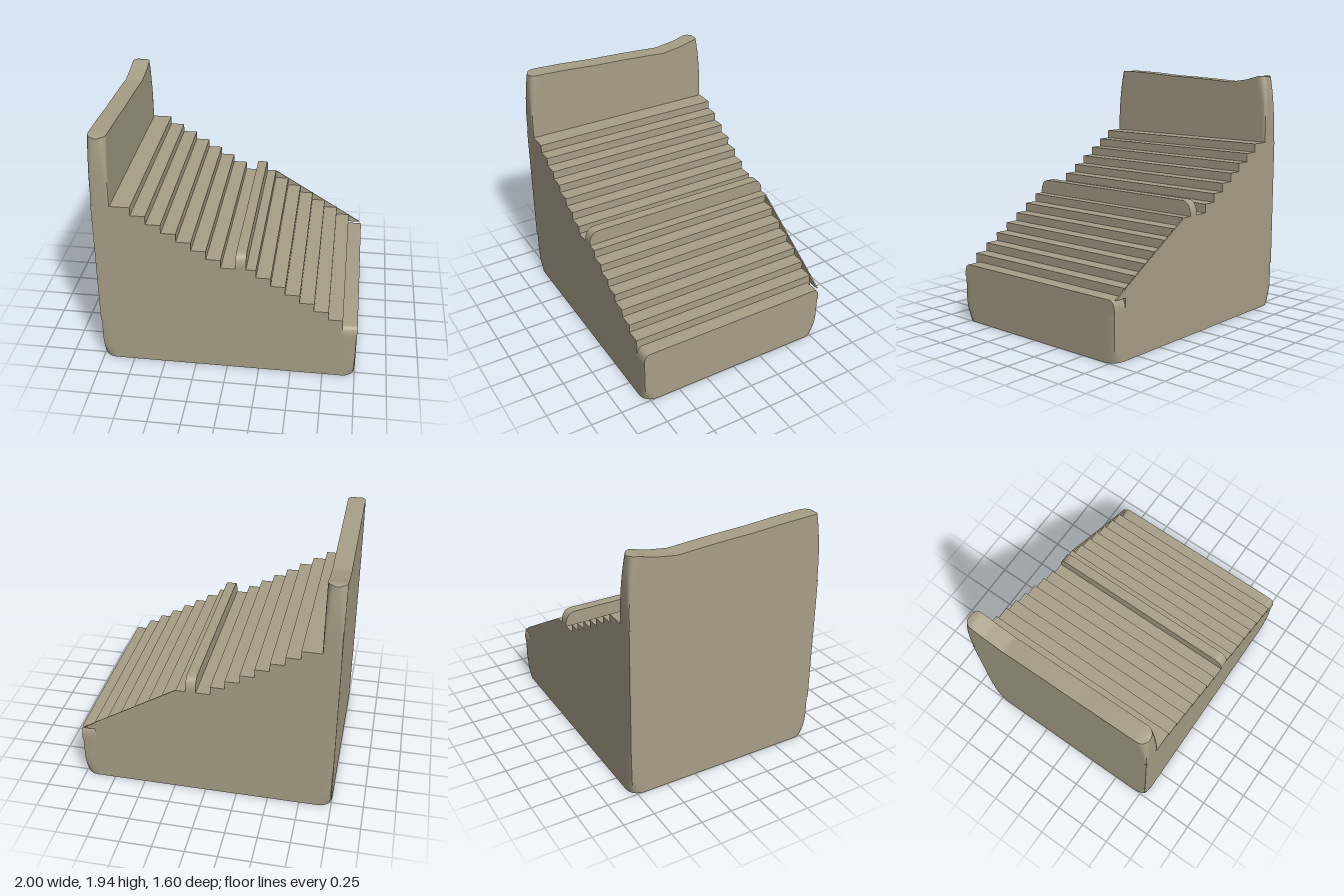
import * as THREE from 'three';
import { toCreasedNormals } from 'three/addons/utils/BufferGeometryUtils.js';

const stone = new THREE.MeshStandardMaterial({ color: 0xa89f87 });

function part(name, geometry) {
  const mesh = new THREE.Mesh(toCreasedNormals(geometry, 0.5), stone);
  mesh.name = name;
  return mesh;
}

// Box from (x0,y0) to (x1,y1) whose plan has corners of radius(t) and half depth(t), t = 0 bottom to 1 top
function roundedBlock(x0, x1, y0, y1, segments, radius, halfDepth, topAt) {
  const hx = (x1 - x0) / 2;
  const g = new THREE.BoxGeometry(2 * hx, 1, 1.6, ...segments);
  const p = g.attributes.position;
  for (let i = 0; i < p.count; i++) {
    const t = p.getY(i) + 0.5;
    const hz = halfDepth(t), r = radius(t);
    let x = p.getX(i), z = p.getZ(i) * hz / 0.8;
    const dx = Math.abs(x) - (hx - r), dz = Math.abs(z) - (hz - r);
    if (dx > 0 && dz > 0) {
      const k = Math.max(dx, dz) / Math.hypot(dx, dz);
      x = Math.sign(x) * (hx - r + dx * k);
      z = Math.sign(z) * (hz - r + dz * k);
    }
    p.setXYZ(i, x + (x0 + x1) / 2, y0 + t * ((topAt ? topAt(z) : y1) - y0), z);
  }
  return g;
}

// Bar running along z with its two upper end corners rounded
function roundedBar(x0, x1, y0, y1, rz, ry) {
  const s = new THREE.Shape();
  s.moveTo(-0.8, y0);
  s.lineTo(0.8, y0);
  s.lineTo(0.8, y1 - ry);
  s.quadraticCurveTo(0.8 - rz * 0.15, y1, 0.8 - rz, y1);
  s.lineTo(-0.8 + rz, y1);
  s.quadraticCurveTo(-0.8 + rz * 0.15, y1, -0.8, y1 - ry);
  const g = new THREE.ExtrudeGeometry(s, { depth: x1 - x0, bevelEnabled: false, curveSegments: 8 });
  return g.rotateY(Math.PI / 2).translate(x0, 0, 0);
}

function prism(points, z0, z1) {
  const s = new THREE.Shape(points.map(([x, y]) => new THREE.Vector2(x, y)));
  return new THREE.ExtrudeGeometry(s, { depth: z1 - z0, bevelEnabled: false }).translate(0, 0, z0);
}

// Crest of the back wall, as [z, y]
const crest = [[-0.8, 1.9], [-0.77, 1.935], [-0.72, 1.937], [-0.6, 1.905], [-0.43, 1.88], [-0.2, 1.895],
  [0, 1.905], [0.2, 1.912], [0.45, 1.93], [0.7, 1.94], [0.77, 1.935], [0.8, 1.9]];
function crestAt(z) {
  for (let i = 1; i < crest.length; i++) {
    const [a, ya] = crest[i - 1], [b, yb] = crest[i];
    if (z <= b) return ya + (yb - ya) * (z - a) / (b - a);
  }
  return 1.9;
}

export function createModel() {
  const group = new THREE.Group();
  const baseTop = 0.36;

  // Base block, corners worn away most near the ground
  group.add(part('base', roundedBlock(-1, 1, 0, baseTop, [60, 8, 48],
    t => 0.015 + 0.085 * Math.max(0, 1 - t * 1.8) ** 2, () => 0.8)));

  // Stair flight, every tread 0.11 deep and 0.067 high
  const outline = [[-1, baseTop], [0.885, baseTop]];
  const steps = [];
  for (let i = 0; i < 14; i++) {
    const right = i < 7 ? -0.71 + i * 0.111 : 0.22 + (i - 8) * 0.111;
    steps.push([i === 7 ? 0.22 : right, 1.4 - i * 0.067]);
  }
  // treads 0-6 above the ridge, one wide tread under it, then the lower treads
  const lower = [];
  for (let i = 1; i <= 6; i++) lower.push([0.22 + i * 0.111, 0.932 - i * 0.067]);
  const treads = [...steps.slice(0, 8), ...lower];
  for (let i = treads.length - 1; i >= 0; i--) {
    const [x, y] = treads[i];
    outline.push([x, i < treads.length - 1 ? treads[i + 1][1] : baseTop], [x, y]);
  }
  outline.push([-1, 1.4]);
  const clean = outline.filter(([x, y], i) => i === 0 || x !== outline[i - 1][0] || y !== outline[i - 1][1]);
  group.add(part('stairs', prism(clean, -0.8, 0.8)));

  // Lowest step with worn ends
  group.add(part('bottomStep', roundedBar(0.885, 1, baseTop, 0.463, 0.05, 0.07)));

  // Raised ridge halfway down
  group.add(part('ridge', roundedBar(0.066, 0.145, 0.92, 1.045, 0.08, 0.09)));

  // Thin sloping strip filling the lower steps along the far side
  const nosings = [treads[7], ...lower, [0.985, 0.463]];
  const strip = [];
  for (let i = nosings.length - 1; i > 0; i--) {
    strip.push(nosings[i], [nosings[i - 1][0], nosings[i][1] - 0.002]);
  }
  strip.push(nosings[0]);
  group.add(part('sideStrip', prism(strip.reverse(), -0.8, -0.788)));

  // Tall back wall, rounder towards its uneven crest
  group.add(part('backWall', roundedBlock(-1, -0.86, 1.4, 1.94, [10, 10, 90],
    t => 0.012 + 0.053 * t * t, t => 0.8 - 0.025 * t ** 3, z => crestAt(z))));

  return group;
}
